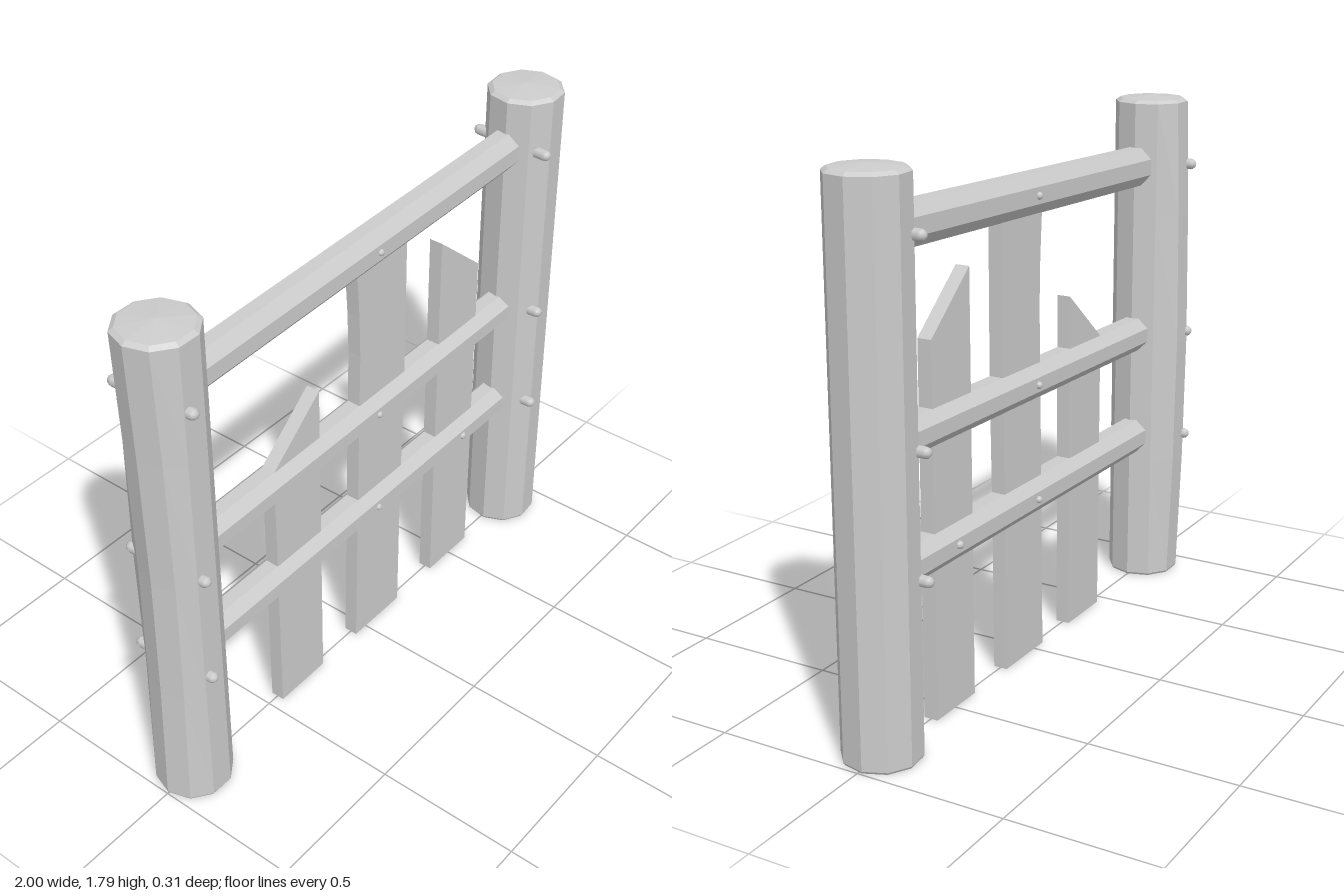
import * as THREE from 'three';

const wood = new THREE.MeshStandardMaterial({ color: 0xcccccc });
wood.name = 'plainGrey';

// Separate the faces so each keeps its own flat normal
function faceted(geometry) {
  const g = geometry.index ? geometry.toNonIndexed() : geometry;
  g.computeVertexNormals();
  return g;
}

function add(parent, name, geometry) {
  const mesh = new THREE.Mesh(geometry, wood);
  mesh.name = name;
  parent.add(mesh);
  return mesh;
}

// Ten-sided post with a bevelled, slightly domed top
function postGeometry(turn) {
  const profile = [
    [0, 0], [0.123, 0], [0.128, 0.008], [0.128, 0.45], [0.128, 0.9], [0.128, 1.37],
    [0.128, 1.765], [0.113, 1.776], [0, 1.786],
  ].map(([r, y]) => new THREE.Vector2(r, y));
  return new THREE.LatheGeometry(profile, 10, THREE.MathUtils.degToRad(turn));
}

// Hewn hollow on the outer side and a swelling at the back
function warp(geometry) {
  const p = geometry.attributes.position;
  for (let i = 0; i < p.count; i++) {
    const x = p.getX(i), y = p.getY(i), z = p.getZ(i);
    const bend = Math.max(0, Math.sin((y / 1.765) * Math.PI));
    if (x < -0.08) p.setX(i, x + 0.018 * bend);
    if (z < -0.1) p.setZ(i, z - 0.02 * bend);
  }
  return geometry;
}

// Round-ended bolt running between two points
function addBolt(parent, name, from, to, radius) {
  const a = new THREE.Vector3(...from), b = new THREE.Vector3(...to);
  const dir = b.clone().sub(a);
  const bolt = add(parent, name, new THREE.CapsuleGeometry(radius, dir.length() - 2 * radius, 3, 8));
  bolt.position.copy(a).add(b).multiplyScalar(0.5);
  bolt.quaternion.setFromUnitVectors(new THREE.Vector3(0, 1, 0), dir.normalize());
}

export function createModel() {
  const gate = new THREE.Group();
  gate.name = 'fence';

  // Posts
  add(gate, 'rightPost', faceted(warp(postGeometry(18)))).position.x = -0.87;
  add(gate, 'leftPost', faceted(postGeometry(24))).position.x = 0.87;

  // Rails: [centre height at x = -0.75, at x = 0.75, half height]
  const rails = [[0.55, 0.564, 0.061], [0.937, 0.963, 0.059], [1.546, 1.588, 0.066]];
  const railHeight = ([y0, y1], x) => y0 + (y1 - y0) * (x + 0.75) / 1.5;
  for (const rail of rails) {
    const g = new THREE.CylinderGeometry(1, 1, 1.6, 8, 1, false, Math.PI / 8);
    g.rotateZ(-Math.PI / 2);
    const k = 1 / Math.cos(Math.PI / 8);
    g.scale(1, rail[2] * k, 0.056 * k);
    const mesh = add(gate, 'rail', faceted(g));
    mesh.position.y = (rail[0] + rail[1]) / 2;
    mesh.rotation.z = Math.atan((rail[1] - rail[0]) / 1.5);
  }

  // Upright planks, broken off at different heights
  const planks = [
    [[-0.455, 0], [-0.24, 0], [-0.235, 1.185], [-0.455, 1.0]],
    [[-0.055, 0], [0.185, 0], [0.19, 0.5], [0.202, 1.0], [0.203, 1.55],
      [-0.048, 1.55], [-0.035, 1.35], [-0.031, 1.2], [-0.042, 0.7]],
    [[0.385, 0], [0.605, 0], [0.605, 1.23], [0.392, 1.41]],
  ];
  for (const outline of planks) {
    const shape = new THREE.Shape(outline.map(([x, y]) => new THREE.Vector2(x, y)));
    const g = new THREE.ExtrudeGeometry(shape, { depth: 0.048, bevelEnabled: false });
    g.translate(0, 0, -0.024);
    add(gate, 'plank', faceted(g));
  }

  // Bolts through the posts: [front x, back x, y]
  const postBolts = [
    [-0.888, -0.915, 0.535], [-0.888, -0.915, 0.93], [-0.888, -0.915, 1.543],
    [0.823, 0.815, 0.57], [0.823, 0.815, 0.965], [0.803, 0.82, 1.59],
  ];
  for (const [x0, x1, y] of postBolts) {
    addBolt(gate, 'postBolt', [x0, y, 0.152], [x1, y, -0.158], 0.019);
  }

  // Smaller bolts through the rails
  for (const rail of rails) {
    const y = railHeight(rail, 0.03);
    addBolt(gate, 'railBolt', [0.03, y, 0.066], [0.03, y, -0.07], 0.013);
  }
  addBolt(gate, 'railBolt', [0.515, 0.565, 0.066], [0.515, 0.565, -0.07], 0.015);

  return gate;
}
